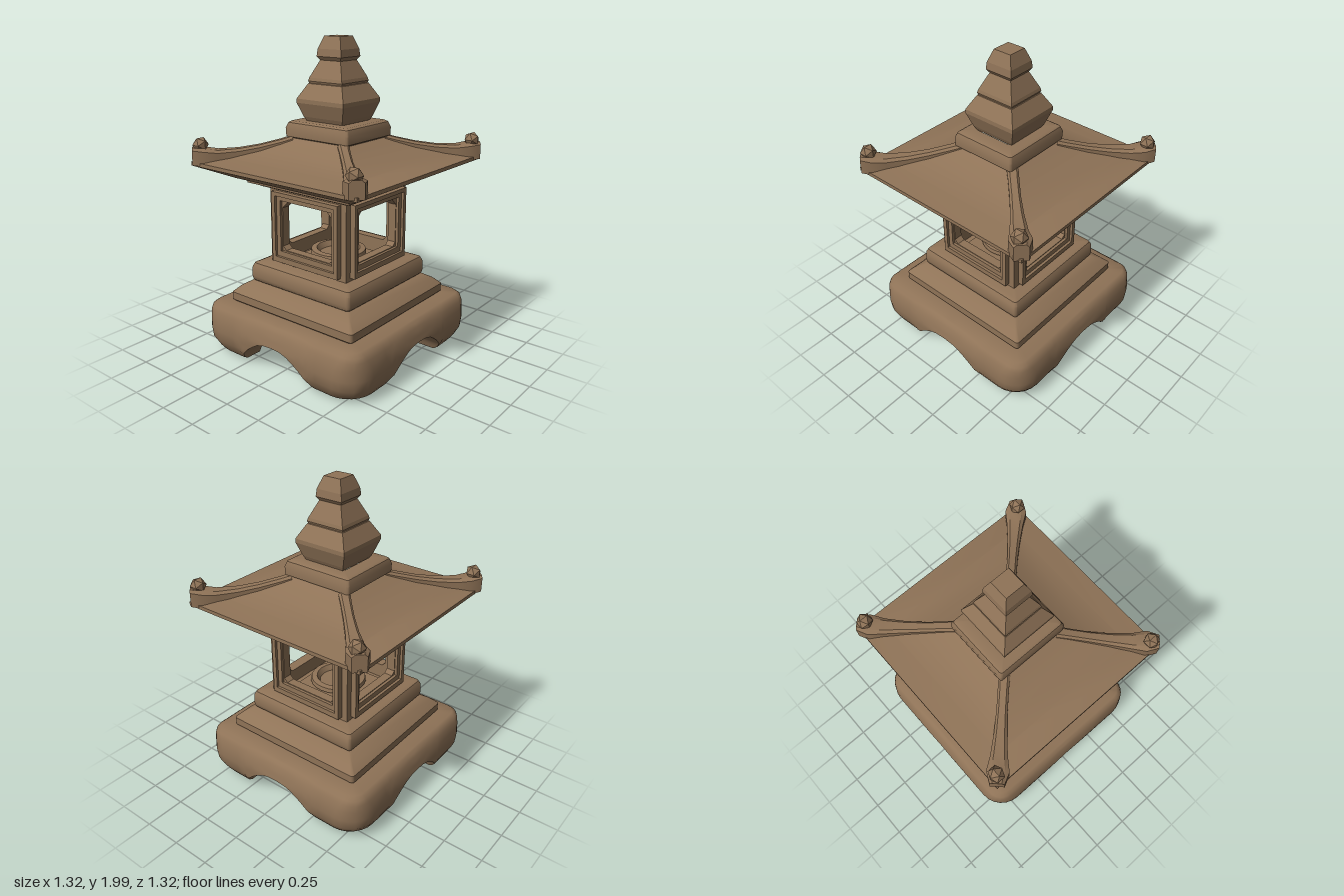
import * as THREE from 'three';
import { toCreasedNormals } from 'three/addons/utils/BufferGeometryUtils.js';

const stone = new THREE.MeshStandardMaterial({ color: 0x8f7357 });
stone.name = 'brown stone';

function part(name, geometry, crease = 0.6) {
  const g = geometry.index ? geometry.toNonIndexed() : geometry;
  const mesh = new THREE.Mesh(toCreasedNormals(g, crease), stone);
  mesh.name = name;
  return mesh;
}

// Skin a list of closed rings that all have the same number of points,
// splitting each quad along its shorter diagonal
function loft(rings) {
  const n = rings[0].length, points = rings.flat(), index = [];
  const gap = (p, q) => Math.hypot(...points[p].map((v, i) => v - points[q][i]));
  for (let i = 0; i < rings.length - 1; i++) {
    for (let j = 0; j < n; j++) {
      const a = i * n + j, b = i * n + (j + 1) % n, c = b + n, d = a + n;
      if (gap(a, c) <= gap(b, d)) index.push(a, d, c, a, c, b);
      else index.push(a, d, b, d, c, b);
    }
  }
  const g = new THREE.BufferGeometry();
  g.setAttribute('position', new THREE.Float32BufferAttribute(points.flat(), 3));
  g.setIndex(index);
  return g;
}

// Repeat the points of one side around the square
function fourSides(side) {
  const ring = [];
  for (let k = 0; k < 4; k++) {
    for (const [x, y, z] of side) {
      ring.push([[x, y, z], [-z, y, x], [-x, y, -z], [z, y, -x]][k]);
    }
  }
  return ring;
}

function corner(h, r, y, steps) {
  const pts = [];
  for (let i = 0; i <= steps; i++) {
    const a = (i / steps) * Math.PI / 2;
    pts.push([h - r + r * Math.cos(a), y, h - r + r * Math.sin(a)]);
  }
  return pts;
}

// Square turning: profile of [half width, height]; a half width of 0 closes it
function squareTurned(name, profile, radius = 0, crease = 0.6) {
  return part(name, loft(profile.map(([h, y]) =>
    fourSides(radius ? corner(h, Math.min(radius, h), y, 4) : [[h, y, h]]))), crease);
}

function interpolate(table, x) {
  for (let i = 1; i < table.length; i++) {
    const [x0, y0] = table[i - 1], [x1, y1] = table[i];
    if (x <= x1) return y0 + (y1 - y0) * (x - x0) / (x1 - x0);
  }
  return table.at(-1)[1];
}

// Hollow foot with an arch in every side
function makeFoot() {
  const ceiling = 0.207;
  const arch = [[0, 0.206], [0.07, 0.202], [0.12, 0.186], [0.17, 0.155], [0.21, 0.125],
    [0.25, 0.085], [0.265, 0.065], [0.278, 0.04], [0.29, 0.012], [0.34, 0.01]];
  const swell = [[0, 0.54], [0.03, 0.59], [0.09, 0.63], [0.2, 0.64], [0.27, 0.624], [0.31, 0.605], [0.33, 0.58]];
  const stations = [...arch.slice(1).reverse().map(([x, y]) => [-x, y]), ...arch];
  const ring = (v, top, half, radius) => {
    const height = a => a + (top - a) * v;
    const side = stations.map(([z, a]) => [half(height(a)), height(a), z]);
    const y = height(0.01);
    return fourSides([...side, ...corner(half(y), radius(y), y, 6)]);
  };
  const inner = () => 0.45, innerRadius = () => 0.1;
  const outer = y => interpolate(swell, y);
  const outerRadius = y => interpolate([[0, 0.17], [0.22, 0.17], [0.33, 0.08]], y);
  const rings = [];
  for (const v of [1, 0.5, 0]) rings.push(ring(v, ceiling, inner, innerRadius));
  for (const v of [0, 0.06, 0.15, 0.3, 0.5, 0.7, 0.85, 0.94, 1]) rings.push(ring(v, 0.33, outer, outerRadius));
  const ceilingCentre = rings[0].map(() => [0, ceiling, 0]);
  const topLip = ring(1, 0.33, () => 0.48, () => 0.03);
  return part('archedFoot', loft([ceilingCentre, ...rings, topLip]), 0.7);
}

// Window outline with cut corners
function outline(Path, w, y0, y1, cutLow = 0, cutHigh = 0) {
  const p = new Path();
  const pts = [[-w + cutLow, y0], [w - cutLow, y0], [w, y0 + cutLow], [w, y1 - cutHigh],
    [w - cutHigh, y1], [-w + cutHigh, y1], [-w, y1 - cutHigh], [-w, y0 + cutLow]];
  p.setFromPoints(pts.filter((q, i) => i === 0 || q[0] !== pts[i - 1][0] || q[1] !== pts[i - 1][1])
    .map(q => new THREE.Vector2(...q)));
  return p;
}

// Pierced slab; points beyond the mitre line are pulled onto the diagonal
function panel(name, shape, hole, z, depth) {
  shape.holes.push(hole);
  const g = new THREE.ExtrudeGeometry(shape, { depth, bevelEnabled: false });
  g.translate(0, 0, z);
  const p = g.attributes.position;
  for (let i = 0; i < p.count; i++) {
    if (Math.abs(p.getX(i)) > p.getZ(i)) p.setX(i, Math.sign(p.getX(i)) * p.getZ(i));
  }
  return part(name, g, 0.3);
}

// One wall of the lantern chamber
function makeWall() {
  const wall = new THREE.Group();
  wall.name = 'chamberWall';
  wall.add(panel('windowWall', outline(THREE.Shape, 0.302, 0.59, 1.095),
    outline(THREE.Path, 0.2, 0.69, 1.01, 0.025, 0.045), 0.245, 0.057));
  wall.add(panel('outerMoulding', outline(THREE.Shape, 0.262, 0.615, 1.07),
    outline(THREE.Path, 0.235, 0.65, 1.045), 0.3, 0.037));
  wall.add(panel('innerMoulding', outline(THREE.Shape, 0.236, 0.648, 1.047),
    outline(THREE.Path, 0.205, 0.685, 1.015), 0.3, 0.02));
  return wall;
}

// Raised hip of the roof with its knob
function makeHip() {
  const hip = new THREE.Group();
  hip.name = 'roofHip';
  // [distance along each axis, top, bottom, half width]
  const sections = [[0.2, 1.405, 1.37, 0.035], [0.25, 1.385, 1.34, 0.032], [0.34, 1.355, 1.3, 0.032],
    [0.43, 1.335, 1.275, 0.038], [0.52, 1.328, 1.25, 0.05], [0.58, 1.34, 1.235, 0.065], [0.63, 1.345, 1.24, 0.042]];
  const rings = sections.map(([d, t, b, w]) =>
    [[-w, b], [-w, t - 0.015], [-w * 0.6, t], [w * 0.6, t], [w, t - 0.015], [w, b]]
      .map(([s, y]) => [d + s * Math.SQRT1_2, y, d - s * Math.SQRT1_2]));
  const tip = rings[0].map(() => [0.63, 1.29, 0.63]);
  hip.add(part('hipRidge', loft([...rings, tip])));
  const knob = part('hipKnob', new THREE.IcosahedronGeometry(0.05, 0), 0.1);
  knob.position.set(0.59, 1.358, 0.6);
  hip.add(knob);
  return hip;
}

export function createModel() {
  const model = new THREE.Group();
  model.name = 'stoneLantern';

  // Base with its two steps and the chamber floor
  model.add(makeFoot());
  model.add(squareTurned('steppedBase', [[0.48, 0.33], [0.49, 0.34], [0.49, 0.39], [0.45, 0.43], [0.4, 0.462],
    [0.385, 0.465], [0.395, 0.475], [0.4, 0.5], [0.397, 0.56], [0.385, 0.585], [0.36, 0.595],
    [0.2, 0.597], [0.195, 0.62], [0, 0.62]], 0.02));

  // Chamber and bowl
  for (let k = 0; k < 4; k++) {
    const wall = makeWall();
    wall.rotation.y = k * Math.PI / 2;
    model.add(wall);
  }
  const bowl = [[0.15, 0.62], [0.18, 0.64], [0.175, 0.665], [0.14, 0.67], [0.12, 0.635], [0, 0.63]];
  model.add(part('lampBowl', new THREE.LatheGeometry(bowl.map(p => new THREE.Vector2(...p)), 24)));

  // Roof with its collar
  model.add(squareTurned('roof', [[0, 1.09], [0.34, 1.09], [0.355, 1.105], [0.4, 1.115], [0.405, 1.138],
    [0.45, 1.145], [0.638, 1.232], [0.638, 1.255], [0.5, 1.28], [0.36, 1.32], [0.27, 1.36], [0.2, 1.395]], 0, 0.35));
  for (let k = 0; k < 4; k++) {
    const hip = makeHip();
    hip.rotation.y = k * Math.PI / 2;
    model.add(hip);
  }

  // Crown and stacked finial
  const crown = squareTurned('crownBlock', [[0.195, 1.385], [0.22, 1.4], [0.222, 1.45], [0.21, 1.485],
    [0.195, 1.495], [0.13, 1.495]], 0.015);
  crown.scale.z = 1.1;
  model.add(crown);
  model.add(squareTurned('stackedFinial', [[0.135, 1.49], [0.15, 1.52], [0.18, 1.605], [0.18, 1.63], [0.13, 1.72],
    [0.125, 1.722], [0.13, 1.735], [0.125, 1.755], [0.078, 1.858], [0.093, 1.88], [0.088, 1.925],
    [0.06, 2], [0, 2]], 0, 0.1));
  return model;
}
